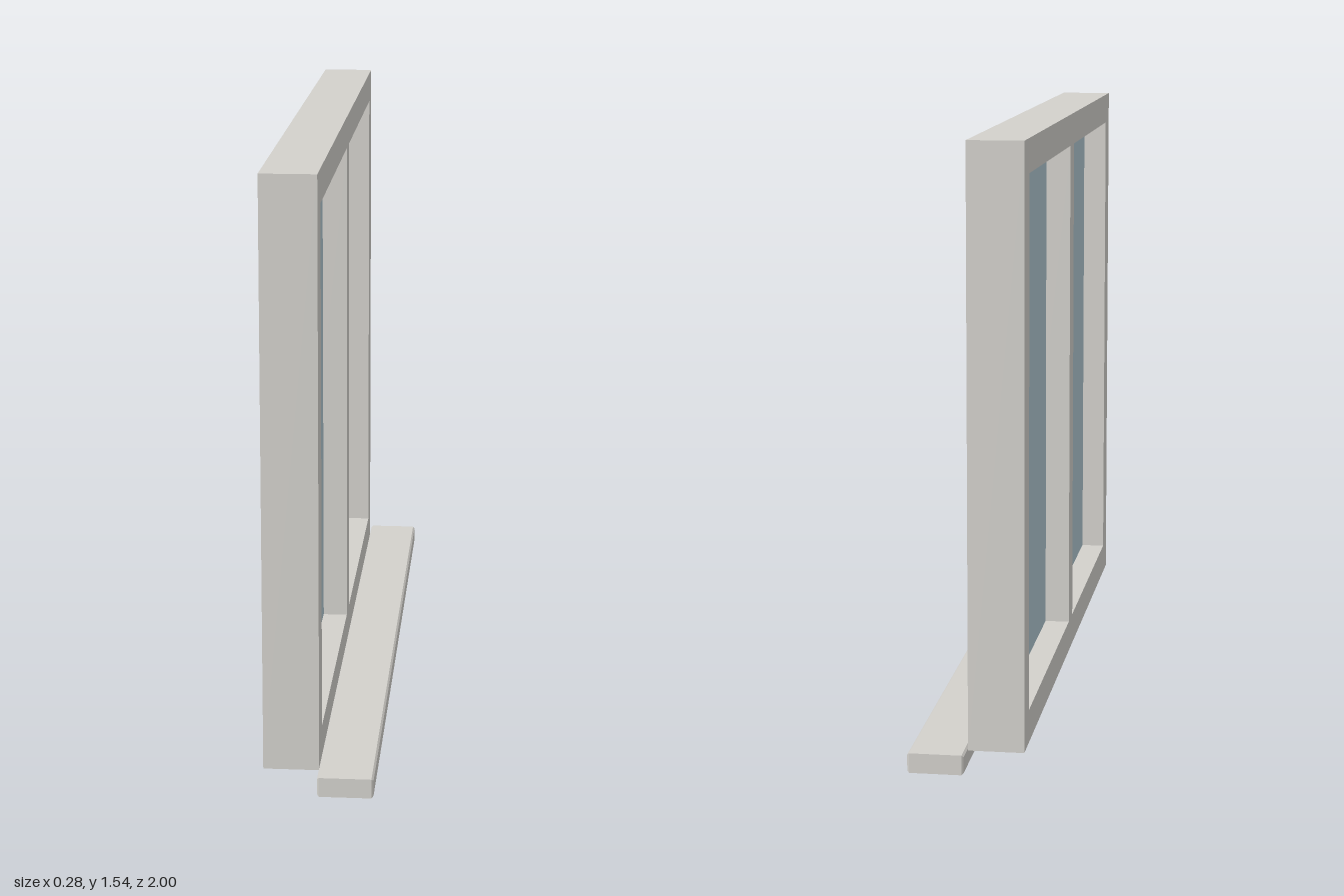
import * as THREE from 'three';

const frameMaterial = new THREE.MeshStandardMaterial({ color: 0xd3d1cc });
frameMaterial.name = 'warm grey paint';
const glassMaterial = new THREE.MeshStandardMaterial({ color: 0xb0c7d1 });
glassMaterial.name = 'pale blue glass';

// Outer frame and its two openings; the window plane is z-y, depth runs along x
const DEPTH = 0.14, HALF_WIDTH = 0.93, BOTTOM = 0.04, TOP = 1.54;
const BORDER = 0.084, HALF_MULLION = 0.04;
const paneWidth = HALF_WIDTH - BORDER - HALF_MULLION;
const paneHeight = TOP - BOTTOM - 2 * BORDER;
const paneZ = HALF_MULLION + paneWidth / 2;
const paneY = (TOP + BOTTOM) / 2;

function rectangle(PathType, cx, cy, w, h) {
  const points = [[-1, -1], [1, -1], [1, 1], [-1, 1]];
  return new PathType(points.map(([x, y]) => new THREE.Vector2(cx + x * w / 2, cy + y * h / 2)));
}

function addMesh(group, name, geometry, material) {
  const mesh = new THREE.Mesh(geometry, material);
  mesh.name = name;
  group.add(mesh);
  return mesh;
}

export function createModel() {
  const model = new THREE.Group();
  model.name = 'window';

  // Frame with centre mullion, cut from one slab
  const outline = rectangle(THREE.Shape, 0, paneY, 2 * HALF_WIDTH, TOP - BOTTOM);
  for (const side of [-1, 1]) {
    outline.holes.push(rectangle(THREE.Path, side * paneZ, paneY, paneWidth, paneHeight));
  }
  const frame = new THREE.ExtrudeGeometry(outline, { depth: DEPTH, bevelEnabled: false });
  frame.rotateY(Math.PI / 2).translate(-DEPTH, 0, 0);
  addMesh(model, 'frame', frame, frameMaterial);

  // Glass panes, set midway through the frame
  for (const side of [-1, 1]) {
    const pane = addMesh(model, side > 0 ? 'frontPane' : 'backPane',
      new THREE.BoxGeometry(0.009, paneHeight, paneWidth), glassMaterial);
    pane.position.set(-DEPTH / 2, paneY, side * paneZ);
  }

  // Sill board with small chamfered edges
  const bevel = 0.005, sillHeight = 0.05, sillLength = 2;
  const section = rectangle(THREE.Shape, 0, 0, sillLength - 2 * bevel, sillHeight - 2 * bevel);
  const sill = new THREE.ExtrudeGeometry(section, {
    depth: DEPTH - 2 * bevel, bevelThickness: bevel, bevelSize: bevel, bevelSegments: 1,
  });
  sill.rotateY(Math.PI / 2).translate(bevel, sillHeight / 2, 0);
  addMesh(model, 'sill', sill, frameMaterial);

  return model;
}
